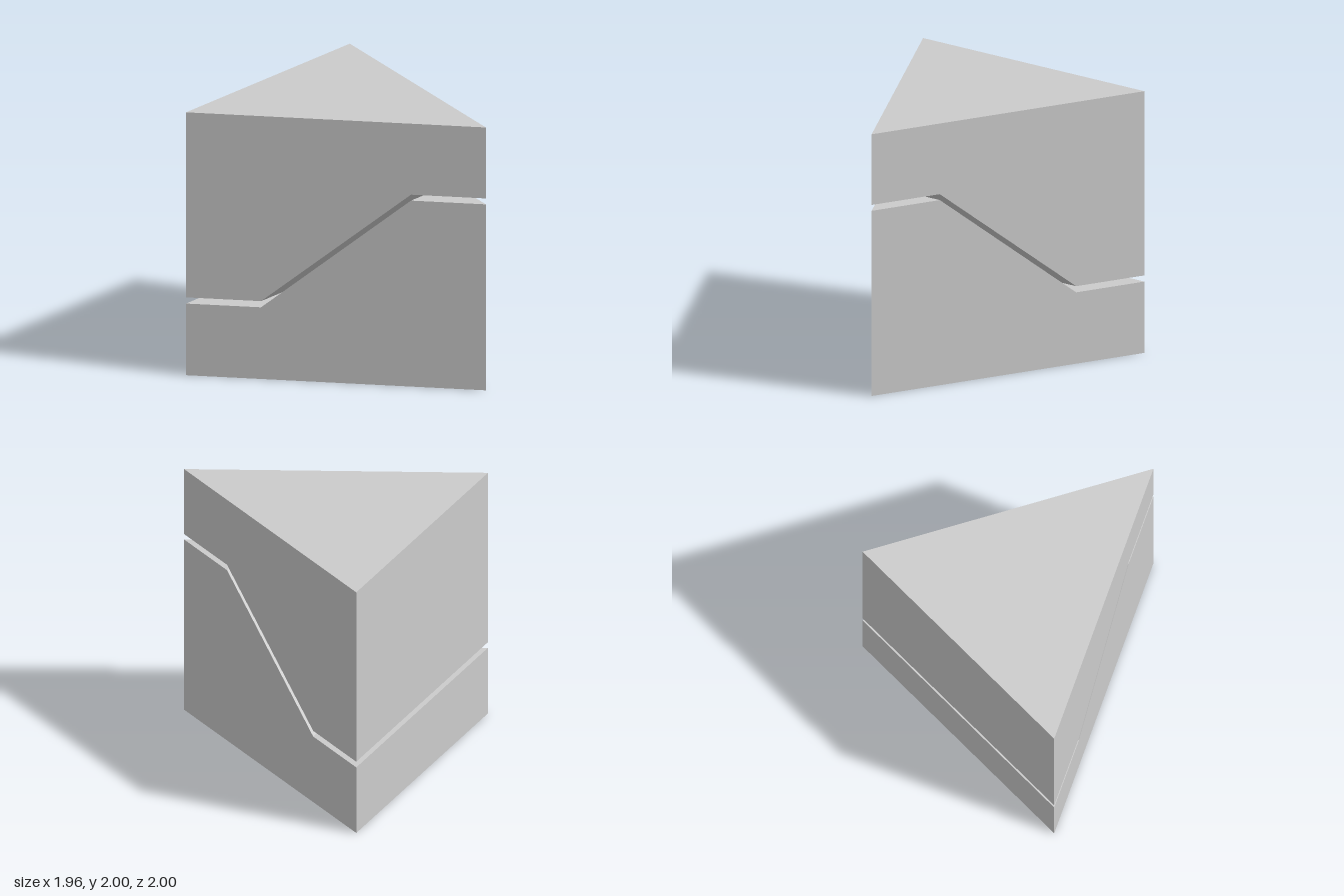
import * as THREE from 'three';

const HALF = 0.98; // half length along x, from the wide back face to the sharp edge

// Extrude a side profile along z, then taper its width linearly to the edge at +x
function taperedBlock(name, points, material) {
  const shape = new THREE.Shape(points.map(([x, y]) => new THREE.Vector2(x, y)));
  const geometry = new THREE.ExtrudeGeometry(shape, { depth: 2, bevelEnabled: false });
  geometry.translate(0, 0, -1);
  const p = geometry.attributes.position;
  for (let i = 0; i < p.count; i++) {
    p.setZ(i, p.getZ(i) * (HALF - p.getX(i)) / (2 * HALF));
  }
  geometry.computeVertexNormals();
  const mesh = new THREE.Mesh(geometry, material);
  mesh.name = name;
  return mesh;
}

// Stepped cut line: low shelf, ramp, high shelf
const cutLine = (low, high) => [[-HALF, low], [-0.49, low], [0.49, high], [HALF, high]];

export function createModel() {
  const group = new THREE.Group();
  group.name = 'splitPrism';
  const material = new THREE.MeshStandardMaterial({ color: 0xcccccc, flatShading: true });

  // Lower half, below the cut
  group.add(taperedBlock('lowerBlock',
    [[HALF, 0], [-HALF, 0], ...cutLine(0.545, 1.415)], material));

  // Upper half, above the cut, separated by a thin gap
  group.add(taperedBlock('upperBlock',
    [[HALF, 2], [-HALF, 2], ...cutLine(0.592, 1.46)], material));

  return group;
}
